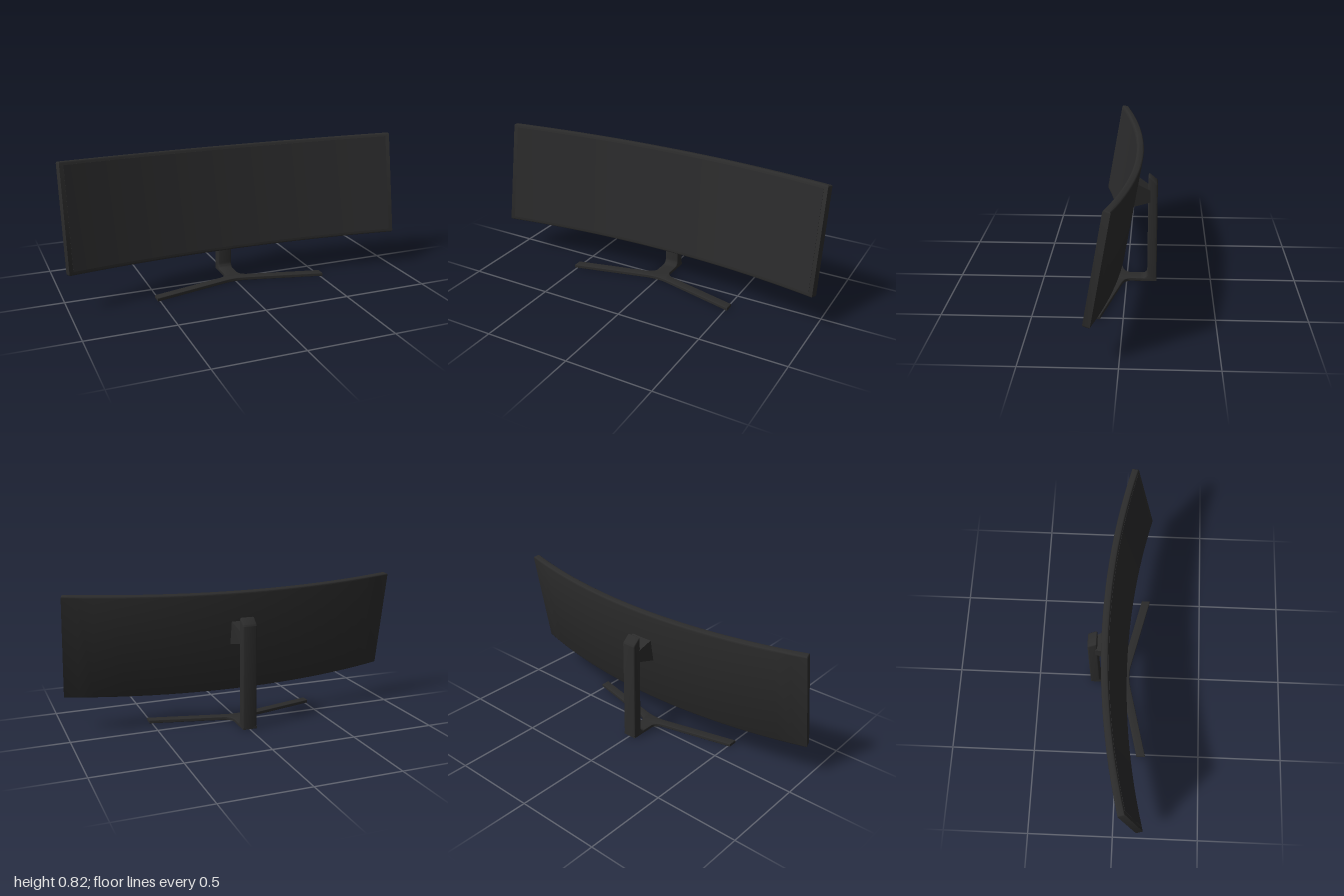
import * as THREE from 'three';
import { toCreasedNormals } from 'three/addons/utils/BufferGeometryUtils.js';

const bodyMat = new THREE.MeshStandardMaterial({ color: 0x2b2b2b });
bodyMat.name = 'charcoal plastic';
const screenMat = new THREE.MeshStandardMaterial({ color: 0x2a2a2b });
screenMat.name = 'dark screen';

const BACK_R = 3.91;   // radius of the panel's back
const THICK = 0.04;    // panel thickness
const SPREAD = Math.asin(1 / BACK_R);

// Extrusion with rounded edges that stays inside its outline, centred on its depth
function slab(shape, depth, bevel) {
  const geo = new THREE.ExtrudeGeometry(shape, {
    depth: depth - 2 * bevel, curveSegments: 8, bevelEnabled: bevel > 0,
    bevelThickness: bevel, bevelSize: bevel, bevelOffset: -bevel, bevelSegments: 3,
  });
  geo.translate(0, 0, -(depth - 2 * bevel) / 2);
  return toCreasedNormals(geo, 0.6);
}

// Plan outline of a curved band between two radii; y of the shape becomes z
function band(outerR, innerR, spread, steps = 24) {
  const pts = [];
  for (const [r, dir] of [[outerR, 1], [innerR, -1]]) {
    for (let i = 0; i <= steps; i++) {
      const a = dir * spread * (2 * i / steps - 1);
      pts.push(new THREE.Vector2(r * Math.sin(a), BACK_R - r * Math.cos(a)));
    }
  }
  return new THREE.Shape(pts);
}

function add(parent, name, geo, mat) {
  const mesh = new THREE.Mesh(geo, mat);
  mesh.name = name;
  parent.add(mesh);
  return mesh;
}

// Four-sided tapered block from two rectangles [halfWidth, [z, y] top, [z, y] bottom]
function taperedBlock(front, back) {
  const corners = ([w, top, low]) => [
    [-w, low[1], low[0]], [w, low[1], low[0]], [w, top[1], top[0]], [-w, top[1], top[0]],
  ];
  const f = corners(front), b = corners(back), pos = [];
  const quad = (p, q, r, s) => pos.push(...p, ...q, ...r, ...p, ...r, ...s);
  quad(f[0], f[1], f[2], f[3]);
  quad(b[1], b[0], b[3], b[2]);
  for (let i = 0; i < 4; i++) {
    const j = (i + 1) % 4;
    quad(f[j], f[i], b[i], b[j]);
  }
  const geo = new THREE.BufferGeometry();
  geo.setAttribute('position', new THREE.Float32BufferAttribute(pos, 3));
  geo.computeVertexNormals();
  return geo;
}

export function createModel() {
  const model = new THREE.Group();
  model.name = 'curvedMonitor';

  // Curved panel, leaning back
  const panel = new THREE.Group();
  panel.name = 'panel';
  panel.position.set(0, 0.4915, -0.044);
  panel.rotation.x = -THREE.MathUtils.degToRad(10);
  model.add(panel);

  const housing = slab(band(BACK_R, BACK_R - THICK, SPREAD), 0.607, 0.009);
  housing.rotateX(Math.PI / 2);
  add(panel, 'panelHousing', housing, bodyMat);

  const frontR = BACK_R - THICK;
  const screen = slab(band(frontR + 0.002, frontR - 0.0015, SPREAD - 0.006), 0.567, 0);
  screen.rotateX(Math.PI / 2);
  add(panel, 'screen', screen, screenMat);

  // Bracket between panel and column
  add(model, 'mountBracket', taperedBlock(
    [0.07, [-0.06, 0.624], [-0.035, 0.483]],
    [0.044, [-0.137, 0.575], [-0.137, 0.503]],
  ), bodyMat);

  // Upright column with slanted top and a fillet into the foot
  const side = new THREE.Shape();
  side.moveTo(-0.178, 0.002);
  side.lineTo(-0.085, 0.002);
  side.lineTo(-0.085, 0.02);
  side.quadraticCurveTo(-0.122, 0.02, -0.122, 0.055);
  side.lineTo(-0.124, 0.645);
  side.quadraticCurveTo(-0.125, 0.657, -0.135, 0.652);
  side.lineTo(-0.171, 0.621);
  side.quadraticCurveTo(-0.178, 0.615, -0.178, 0.605);
  side.closePath();
  const column = slab(side, 0.085, 0.008);
  column.rotateY(-Math.PI / 2);
  add(model, 'column', column, bodyMat);

  // Y-shaped foot: short stem and two splayed legs
  const plan = new THREE.Shape();
  plan.moveTo(-0.042, -0.178);
  plan.lineTo(0.042, -0.178);
  plan.lineTo(0.042, -0.03);
  plan.quadraticCurveTo(0.042, 0.011, 0.1, 0.025);
  plan.lineTo(0.515, 0.125);
  plan.lineTo(0.515, 0.178);
  plan.lineTo(0.06, 0.068);
  plan.quadraticCurveTo(0, 0.056, -0.06, 0.068);
  plan.lineTo(-0.515, 0.178);
  plan.lineTo(-0.515, 0.125);
  plan.lineTo(-0.1, 0.025);
  plan.quadraticCurveTo(-0.042, 0.011, -0.042, -0.03);
  plan.closePath();
  const foot = slab(plan, 0.02, 0.004);
  foot.rotateX(Math.PI / 2);
  add(model, 'foot', foot, bodyMat).position.y = 0.01;

  return model;
}
